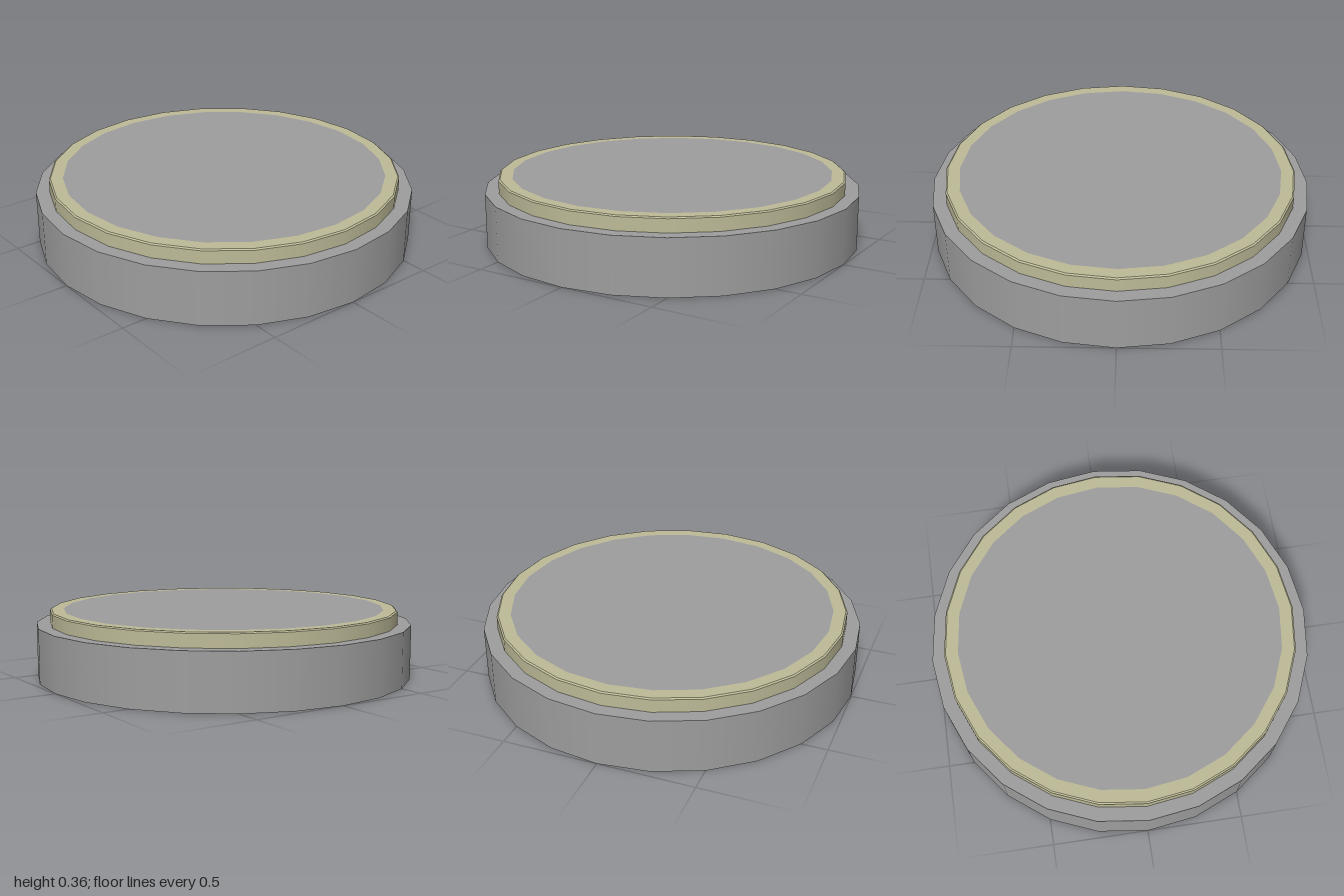
import * as THREE from 'three';

const SIDES = 24;
const grey = new THREE.MeshStandardMaterial({ color: 0x9e9e9e, side: THREE.DoubleSide });
const khaki = new THREE.MeshStandardMaterial({ color: 0xbebb98, side: THREE.DoubleSide });

// One band of the thin shell, running from (r0, y0) to (r1, y1); separate bands keep the edges sharp
function band(name, material, r0, y0, r1, y1) {
  const profile = [new THREE.Vector2(r0, y0), new THREE.Vector2(r1, y1)];
  const geometry = new THREE.LatheGeometry(profile, SIDES);
  geometry.normalizeNormals(); // even smooth shading around the band
  const mesh = new THREE.Mesh(geometry, material);
  mesh.name = name;
  return mesh;
}

export function createModel() {
  const model = new THREE.Group();
  model.name = 'roundLid';

  // Open-bottomed base: outer wall and the ledge on top of it
  const base = new THREE.Group();
  base.name = 'base';
  base.add(
    band('baseWall', grey, 1, 0, 1, 0.288),
    band('baseLedge', grey, 1, 0.288, 0.928, 0.288),
  );

  // Raised coloured rim with a fine bevel
  const rim = new THREE.Group();
  rim.name = 'rim';
  rim.add(
    band('rimWall', khaki, 0.928, 0.288, 0.928, 0.356),
    band('rimBevel', khaki, 0.928, 0.356, 0.92, 0.362),
    band('rimTop', khaki, 0.92, 0.362, 0.855, 0.362),
  );

  // Flat panel closing the top
  const panel = new THREE.Mesh(new THREE.CircleGeometry(0.855, SIDES), grey);
  panel.name = 'topPanel';
  panel.rotation.x = -Math.PI / 2;
  panel.position.y = 0.362;

  model.add(base, rim, panel);
  return model;
}
